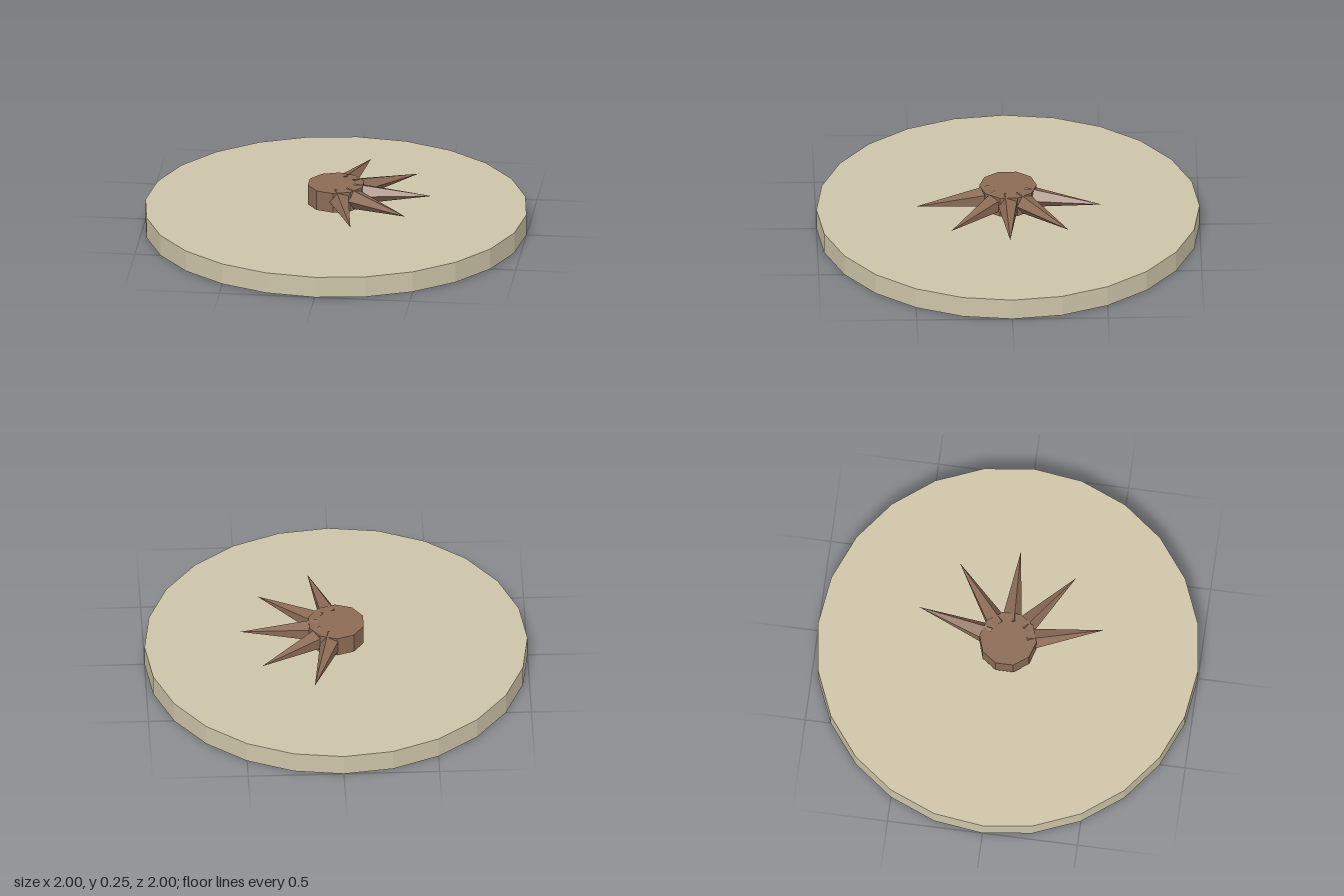
import * as THREE from 'three';

export function createModel() {
  const model = new THREE.Group();
  const stone = new THREE.MeshStandardMaterial({ color: 0xcdc4a8 });
  stone.name = 'pale stone';
  const wood = new THREE.MeshStandardMaterial({ color: 0x8b6b55 });
  wood.name = 'brown wood';
  // faceted low-poly look
  stone.flatShading = wood.flatShading = true;

  function add(name, geometry, material, y) {
    const mesh = new THREE.Mesh(geometry, material);
    mesh.name = name;
    mesh.position.y = y;
    model.add(mesh);
    return mesh;
  }

  // Round base slab
  add('baseDisc', new THREE.CylinderGeometry(1, 1, 0.112, 24), stone, 0.056);

  // Ten-sided hub floating just above the slab
  add('hub', new THREE.CylinderGeometry(0.15, 0.15, 0.107, 10), wood, 0.193);

  // Five spikes fanned out towards +x, their bases sunk into the hub
  const spike = new THREE.ConeGeometry(0.06, 0.405, 5);
  spike.rotateZ(-Math.PI / 2).translate(0.3, 0, 0);
  for (let i = -2; i <= 2; i++) {
    add('spike' + (i + 3), spike, wood, 0.196).rotation.y = -i * THREE.MathUtils.degToRad(37.5);
  }
  return model;
}
